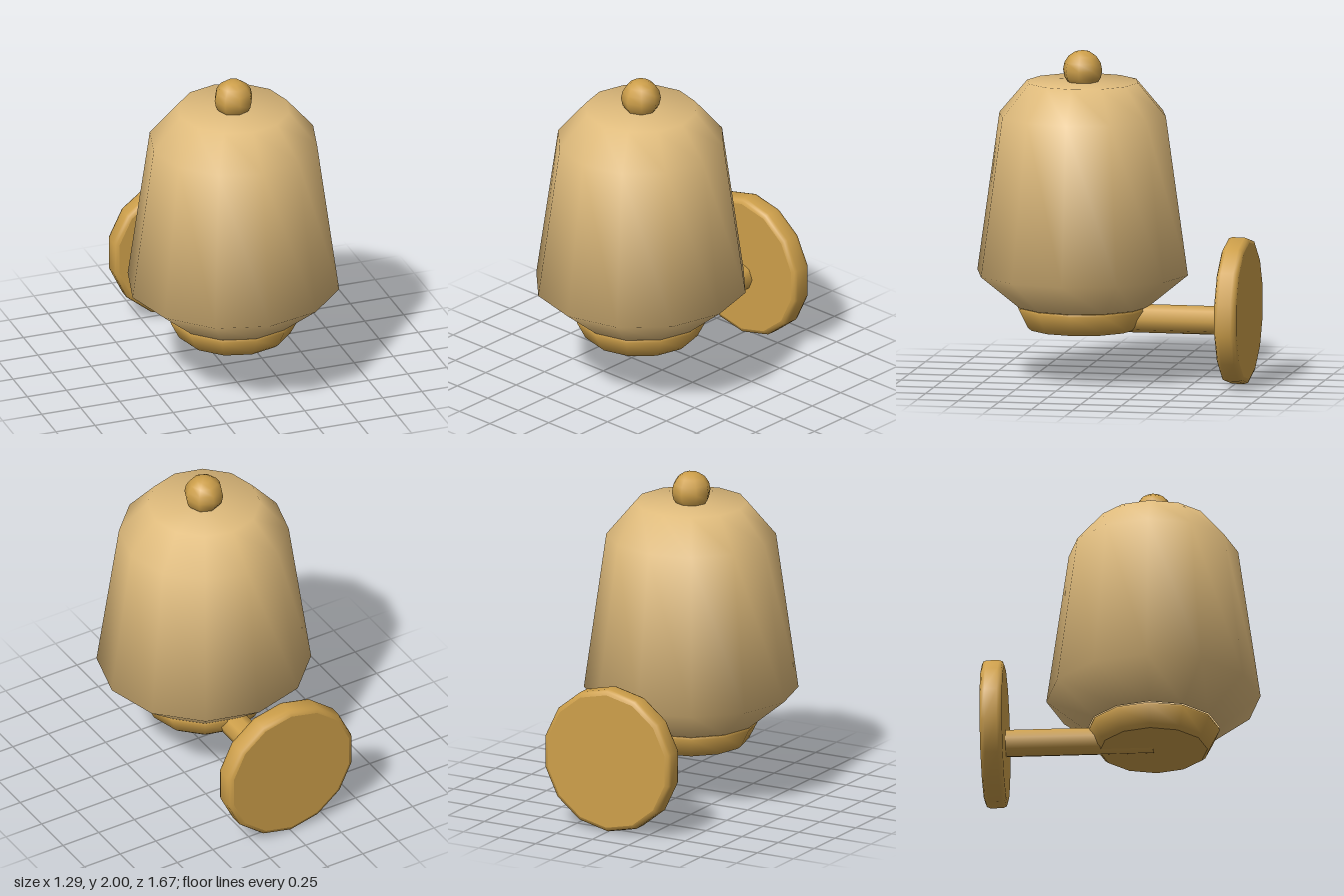
import * as THREE from 'three';

// Turned part around y; `smooth` averages neighbouring slopes evenly, a repeated point makes a sharp edge.
function turned(profile, sides) {
  const points = profile.map(([r, y]) => new THREE.Vector2(r, y));
  const geometry = new THREE.LatheGeometry(points, sides);
  const slope = points.slice(1).map((p, i) =>
    new THREE.Vector2(p.y - points[i].y, points[i].x - p.x).normalize());
  const normal = geometry.attributes.normal;
  for (let i = 0; i <= sides; i++) {
    const a = (i / sides) * Math.PI * 2;
    points.forEach((p, j) => {
      const n = new THREE.Vector2();
      if (j > 0) n.add(slope[j - 1]);
      if (j < slope.length) n.add(slope[j]);
      n.normalize();
      normal.setXYZ(i * points.length + j, n.x * Math.sin(a), n.y, n.x * Math.cos(a));
    });
  }
  return geometry;
}

export function createModel() {
  const lamp = new THREE.Group();
  lamp.name = 'wallLamp';

  const brass = new THREE.MeshStandardMaterial({ color: 0xcd9f4a });
  brass.name = 'brass';
  const glass = new THREE.MeshStandardMaterial({ color: 0xdfbb7c, side: THREE.DoubleSide });
  glass.name = 'warmShade';

  const add = (name, geometry, material, x, y, z) => {
    const mesh = new THREE.Mesh(geometry, material);
    mesh.name = name;
    mesh.position.set(x, y, z);
    lamp.add(mesh);
    return mesh;
  };
  const axisZ = 0.187; // the shade hangs forward of the wall plate

  // Shade: bell with a closed, softly shaded top
  add('shade', turned([
    [0.4, 0.45], [0.645, 0.65], [0.51, 1.61], [0.34, 1.81], [0, 1.81],
  ], 12), glass, 0, 0, axisZ);

  // Knob on top of the shade
  add('knob', new THREE.SphereGeometry(0.12, 8, 8), brass, 0, 1.88, axisZ);

  // Cup holding the shade
  add('cup', turned([
    [0, 0.31], [0.325, 0.31], [0.325, 0.31], [0.348, 0.33],
    [0.4, 0.432], [0.395, 0.447], [0.395, 0.447], [0, 0.447],
  ], 12), brass, 0, 0, axisZ);

  // Arm from the cup back to the plate
  const arm = add('arm', new THREE.CylinderGeometry(0.087, 0.087, 0.92, 8), brass, 0, 0.381, axisZ - 0.46);
  arm.rotation.x = Math.PI / 2;

  // Round wall plate with softened rims
  const plate = add('wallPlate', turned([
    [0, 0], [0.415, 0], [0.415, 0], [0.437, 0.009], [0.445, 0.03],
    [0.445, 0.105], [0.437, 0.126], [0.415, 0.135], [0.415, 0.135], [0, 0.135],
  ], 14), brass, 0, 0.445, -0.835);
  plate.rotation.x = Math.PI / 2;

  return lamp;
}
